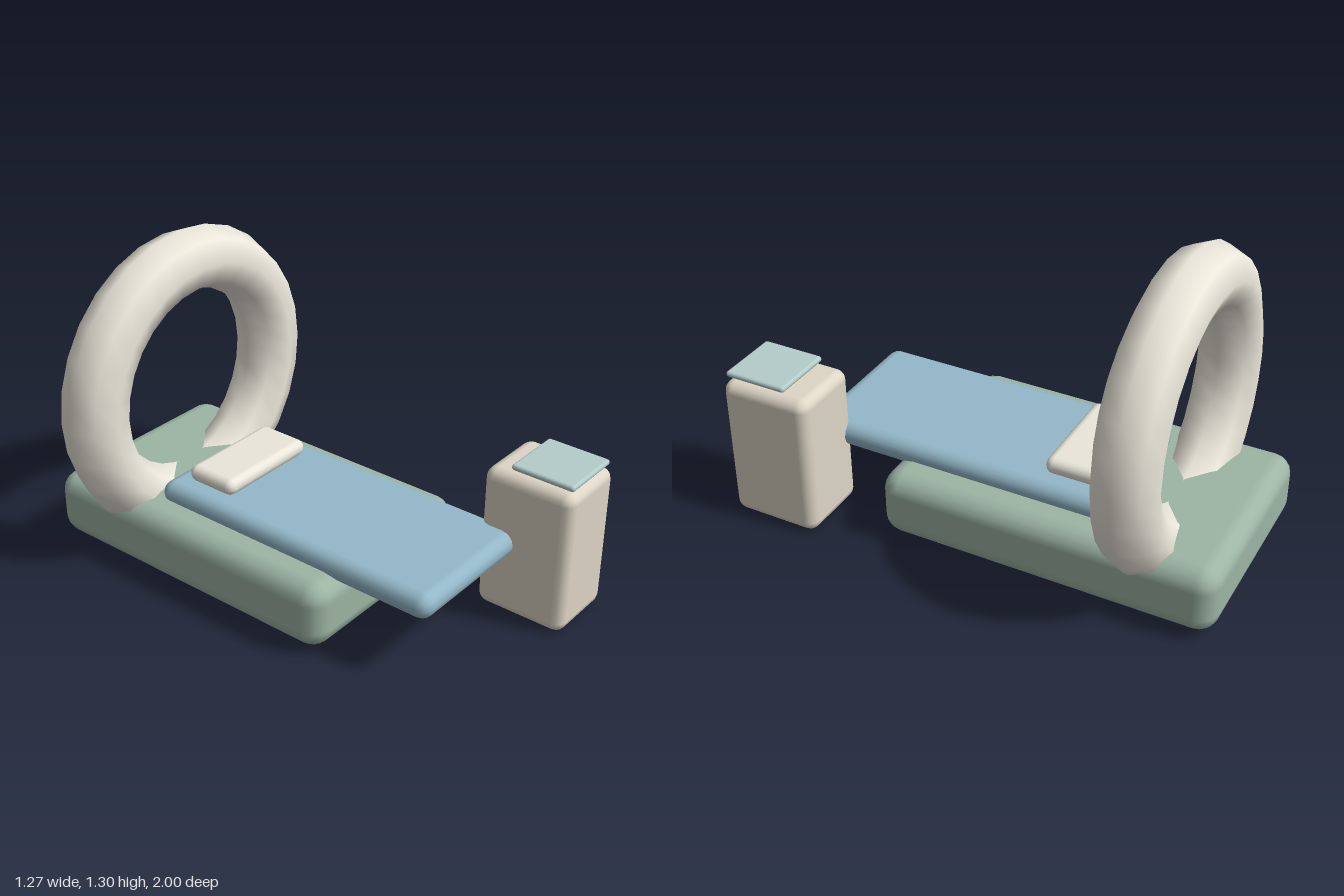
import * as THREE from 'three';
import { RoundedBoxGeometry } from 'three/addons/geometries/RoundedBoxGeometry.js';

const COLORS = { green: 0x9db5a5, blue: 0x94b8c9, cream: 0xebe7db, beige: 0xded6c6, glass: 0xb4cdcb };

function addMesh(group, name, geometry, color) {
  const mesh = new THREE.Mesh(geometry, new THREE.MeshStandardMaterial({ color }));
  mesh.name = name;
  group.add(mesh);
  return mesh;
}

// Rounded block given by its [min, max] extent along each axis
function addBlock(group, name, x, y, z, radius, color) {
  const geometry = new RoundedBoxGeometry(x[1] - x[0], y[1] - y[0], z[1] - z[0], 2, radius);
  addMesh(group, name, geometry, color)
    .position.set((x[0] + x[1]) / 2, (y[0] + y[1]) / 2, (z[0] + z[1]) / 2);
}

export function createModel() {
  const group = new THREE.Group();
  group.name = 'scanner';

  // Floor base carrying the ring and the table
  addBlock(group, 'base', [-0.46, 0.44], [0.02, 0.297], [-1, 0.387], 0.08, COLORS.green);

  // Scanner ring, partly sunk into the base
  addMesh(group, 'ring', new THREE.TorusGeometry(0.506, 0.13, 8, 28), COLORS.cream)
    .position.set(0, 0.665, -0.672);

  // Patient table and its pillow
  addBlock(group, 'table', [-0.323, 0.302], [0.262, 0.367], [-0.535, 0.77], 0.051, COLORS.blue);
  addBlock(group, 'pillow', [-0.242, 0.222], [0.365, 0.435], [-0.45, -0.22], 0.034, COLORS.cream);

  // Free-standing console with a floating screen plate
  addBlock(group, 'console', [0.24, 0.557], [0, 0.607], [0.617, 1], 0.045, COLORS.beige);
  addBlock(group, 'screen', [0.265, 0.533], [0.62, 0.645], [0.722, 0.988], 0.012, COLORS.glass);

  return group;
}
